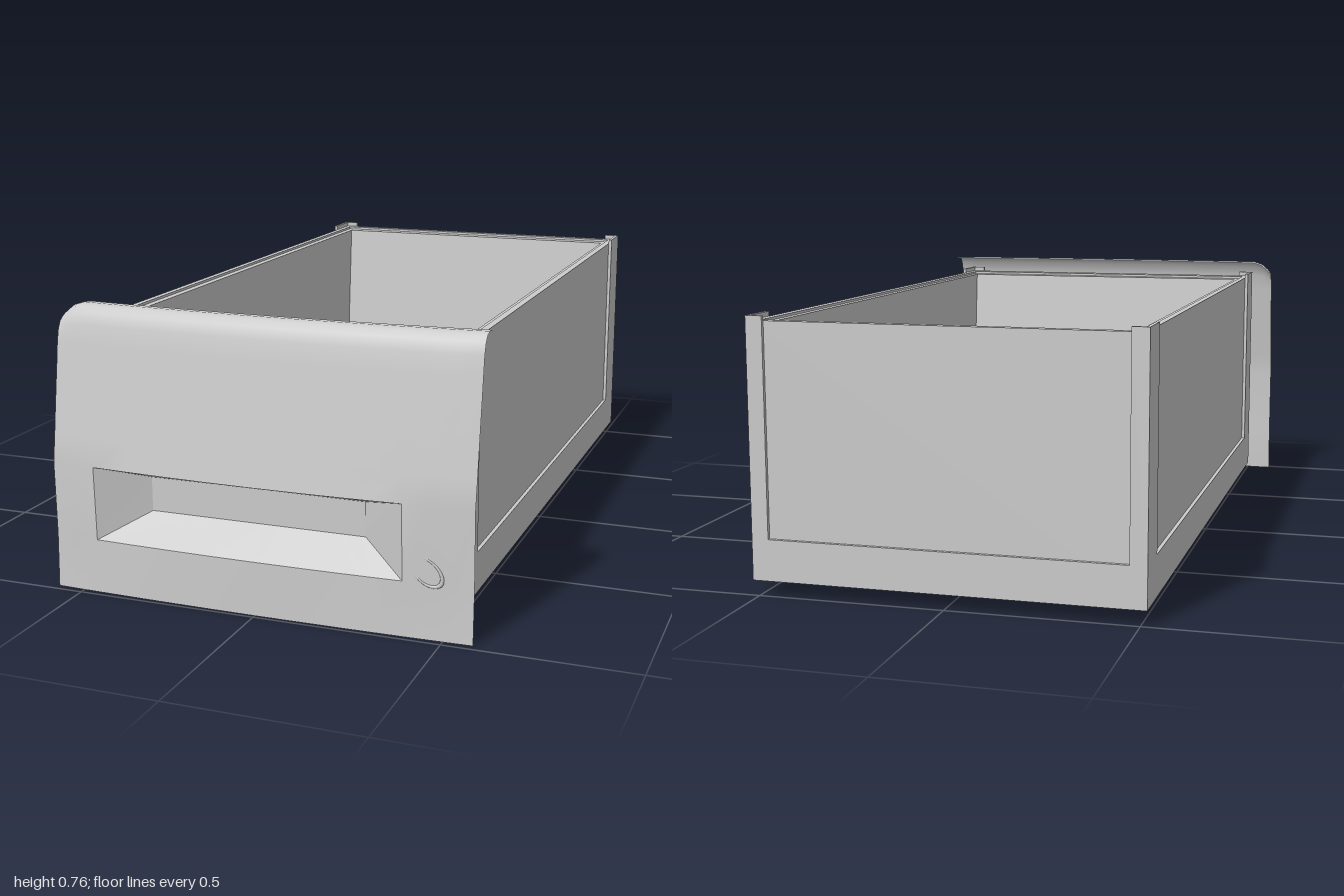
import * as THREE from 'three';

const grey = new THREE.MeshStandardMaterial({ color: 0xcccccc });
grey.name = 'grey';
const sheetGrey = grey.clone();
sheetGrey.name = 'sheet grey';
sheetGrey.side = THREE.DoubleSide;

const V = (x, y, z) => new THREE.Vector3(x, y, z);

function add(parent, name, geometry, material = grey) {
  const mesh = new THREE.Mesh(geometry, material);
  mesh.name = name;
  parent.add(mesh);
  return mesh;
}

function box(parent, name, x0, x1, y0, y1, z0, z1) {
  add(parent, name, new THREE.BoxGeometry(x1 - x0, y1 - y0, z1 - z0))
    .position.set((x0 + x1) / 2, (y0 + y1) / 2, (z0 + z1) / 2);
}

function extrude(points, depth, hole) {
  const toV2 = list => list.map(([x, y]) => new THREE.Vector2(x, y));
  const shape = new THREE.Shape(toV2(points));
  if (hole) shape.holes.push(new THREE.Path(toV2(hole)));
  return new THREE.ExtrudeGeometry(shape, { depth, bevelEnabled: false });
}

const rect = (x0, x1, y0, y1) => [[x0, y0], [x1, y0], [x1, y1], [x0, y1]];

// Horizontal ring standing on y = 0; rectangles are given in x and z
function ring(outer, inner, height) {
  const flip = ([x0, x1, z0, z1]) => rect(x0, x1, -z1, -z0);
  return extrude(flip(outer), height, flip(inner)).rotateX(-Math.PI / 2);
}

// U-shaped trim: two posts joined by a bottom rail
function trim(width, post) {
  const w = width / 2, i = w - post;
  return extrude([[-w, 0.04], [w, 0.04], [w, 0.725], [i, 0.725], [i, 0.15],
    [-i, 0.15], [-i, 0.725], [-w, 0.725]], 0.01);
}

// Surface through rows of points, leaving out cells chosen by skip
function surface(rows, skip = () => false) {
  const n = rows[0].length, index = [];
  for (let r = 0; r < rows.length - 1; r++) {
    for (let c = 0; c < n - 1; c++) {
      if (skip(r, c)) continue;
      const a = r * n + c, b = a + 1, d = a + n, e = d + 1;
      index.push(a, b, e, a, e, d);
    }
  }
  const g = new THREE.BufferGeometry().setFromPoints(rows.flat());
  g.setIndex(index);
  g.computeVertexNormals();
  return g;
}

function buildBin() {
  const bin = new THREE.Group();
  bin.name = 'bin';

  // Outer walls and floor
  add(bin, 'outerWalls', ring([-0.507, 0.507, -0.99, 0.85], [-0.49, 0.487, -0.965, 0.8], 0.662))
    .position.y = 0.05;
  box(bin, 'floor', -0.5, 0.5, 0.05, 0.1, -0.98, 0.84);

  // Liner: straight sides and sloping ends
  for (const s of [-1, 1]) {
    box(bin, 'linerSide', Math.min(s * 0.47, s * 0.495), Math.max(s * 0.47, s * 0.495),
      0.09, 0.705, -0.97, 0.81);
  }
  const linerEnd = (name, outer, top, bottom) => {
    const pts = [[-outer, 0.09], [-bottom, 0.09], [-top, 0.705], [-outer, 0.705]];
    add(bin, name, extrude(pts, 0.96).rotateY(Math.PI / 2)).position.x = -0.48;
  };
  linerEnd('linerBack', -0.97, -0.93, -0.875);
  linerEnd('linerFront', 0.81, 0.76, 0.7);

  // Raised trim framing the recessed panels
  add(bin, 'backTrim', trim(1.034, 0.045)).position.z = -1;
  add(bin, 'frontTrim', trim(1.034, 0.045)).position.z = 0.85;
  for (const x of [-0.517, 0.507]) {
    add(bin, 'sideTrim', trim(1.86, 0.118).rotateY(Math.PI / 2)).position.set(x, 0, -0.07);
  }
  add(bin, 'bottomTrim', ring([-0.517, 0.517, -1, 0.86], [-0.457, 0.457, -0.883, 0.743], 0.01))
    .position.y = 0.04;
  return bin;
}

function buildFront() {
  const front = new THREE.Group();
  front.name = 'frontPanel';

  // Side profile of the sheet, as y and z
  const profile = [[0, 0.99], [0.145, 0.99], [0.345, 1], [0.42, 0.988], [0.5, 0.976], [0.6, 0.96],
    [0.66, 0.951], [0.71, 0.943], [0.74, 0.932], [0.755, 0.918], [0.76, 0.9], [0.757, 0.87]];
  const xs = [-0.578, -0.57, -0.55, -0.52, -0.455, -0.36, -0.24, -0.12, 0, 0.12, 0.22, 0.31,
    0.395, 0.46, 0.52, 0.577];
  const left = xs.indexOf(-0.455), right = xs.indexOf(0.395);

  // The sheet bows back at its ends and has one rounded top corner
  const point = (x, y, z) => {
    const bow = (0.01 + 0.015 * Math.min(1, y / 0.345)) * (x / 0.577) ** 2;
    const t = Math.max(0, (-0.52 - x) / 0.058);
    const drop = 0.035 * t * t * Math.max(0, (y - 0.66) / 0.1);
    return V(x, y - drop, z - bow);
  };
  const rows = profile.map(([y, z]) => xs.map(x => point(x, y, z)));
  add(front, 'sheet', surface(rows, (r, c) => r === 1 && c >= left && c < right), sheetGrey);

  // Handle pocket narrowing towards its back
  const low = rows[1].slice(left, right + 1), high = rows[2].slice(left, right + 1);
  const backX = x => -0.33 + (x + 0.455) / 0.85 * 0.6;
  const backLow = low.map(p => V(backX(p.x), 0.215, 0.9));
  const backHigh = high.map(p => V(backX(p.x), 0.308, 0.9));
  const last = low.length - 1;
  add(front, 'pocketFloor', surface([low, backLow]), sheetGrey);
  add(front, 'pocketRoof', surface([backHigh, high]), sheetGrey);
  add(front, 'pocketBack', surface([backLow, backHigh]), sheetGrey);
  add(front, 'pocketLeftWall', surface([[backLow[last], low[last]], [backHigh[last], high[last]]]), sheetGrey);
  add(front, 'pocketRightWall', surface([[low[0], backLow[0]], [high[0], backHigh[0]]]), sheetGrey);

  // Small oval fitting beside the pocket, with a stub behind
  const oval = add(front, 'ovalRing', new THREE.TorusGeometry(0.04, 0.005, 8, 24));
  oval.scale.set(1.15, 0.72, 0.8);
  oval.rotation.z = -0.7;
  oval.position.set(0.457, 0.175, 0.978);
  const stub = add(front, 'ovalStub', new THREE.CylinderGeometry(0.022, 0.03, 0.03, 16).rotateX(-Math.PI / 2));
  stub.position.set(0.457, 0.175, 0.96);
  return front;
}

export function createModel() {
  const model = new THREE.Group();
  model.name = 'drawer';
  model.add(buildBin(), buildFront());
  return model;
}
